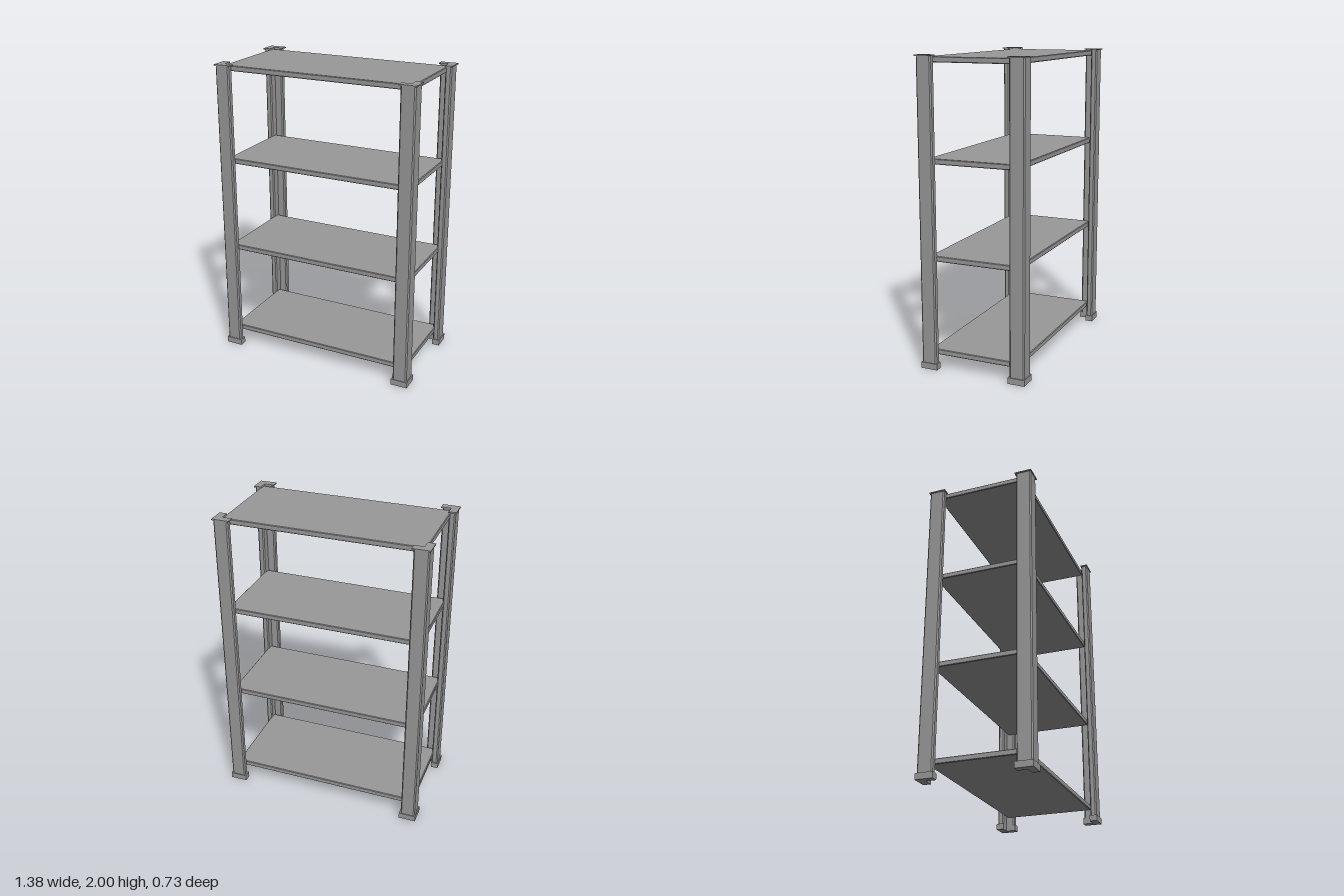
import * as THREE from 'three';

const material = new THREE.MeshStandardMaterial({ color: 0x999999, flatShading: true });

// L-shaped section with its outer corner at (outX, outZ), arms running inwards, chamfered by c
function angleShape(outX, outZ, lengthX, lengthZ, thick, c) {
  const x0 = outX - lengthX, z0 = outZ - lengthZ, xi = outX - thick, zi = outZ - thick;
  return c > 0
    ? [[outX - c, outZ], [x0 + c, outZ], [x0, outZ - c], [x0, zi + c], [x0 + c, zi],
       [xi, zi], [xi, z0 + c], [xi + c, z0], [outX - c, z0], [outX, z0 + c], [outX, outZ - c]]
    : [[outX, outZ], [x0, outZ], [x0, zi], [xi, zi], [xi, z0], [outX, z0]];
}

// Upright prism over an x/z outline, mirrored by sx and sz, from y0 to y1
function prism(name, points, sx, sz, y0, y1) {
  const shape = new THREE.Shape(points.map(([x, z]) => new THREE.Vector2(sx * x, -sz * z)));
  const geometry = new THREE.ExtrudeGeometry(shape, { depth: y1 - y0, bevelEnabled: false });
  geometry.rotateX(-Math.PI / 2).translate(0, y0, 0);
  const mesh = new THREE.Mesh(geometry, material);
  mesh.name = name;
  return mesh;
}

// Board with finely chamfered edges
function shelf(width, depth, thick, bevel) {
  const w = width / 2 - bevel, d = depth / 2 - bevel;
  const shape = new THREE.Shape([[-w, -d], [w, -d], [w, d], [-w, d]].map(p => new THREE.Vector2(...p)));
  const geometry = new THREE.ExtrudeGeometry(shape, {
    depth: thick - 2 * bevel, bevelSize: bevel, bevelThickness: bevel, bevelSegments: 1,
  });
  geometry.rotateX(-Math.PI / 2).translate(0, bevel, 0);
  return new THREE.Mesh(geometry, material);
}

export function createModel() {
  const model = new THREE.Group();
  model.name = 'shelvingUnit';

  // Four angle posts, each with a foot and a thin cap
  const postOutline = angleShape(0.681, 0.358, 0.097, 0.101, 0.043, 0.008);
  const endOutline = angleShape(0.688, 0.363, 0.114, 0.114, 0.05, 0);
  for (const sx of [1, -1]) {
    for (const sz of [1, -1]) {
      const corner = new THREE.Group();
      corner.name = (sz > 0 ? 'front' : 'back') + (sx > 0 ? 'Left' : 'Right') + 'Upright';
      corner.add(
        prism('post', postOutline, sx, sz, 0.03, 1.995),
        prism('foot', endOutline, sx, sz, 0, 0.04),
        prism('cap', endOutline, sx, sz, 1.992, 2),
      );
      model.add(corner);
    }
  }

  // Four evenly spaced shelves
  for (let i = 0; i < 4; i++) {
    const board = shelf(1.294, 0.608, 0.035, 0.004);
    board.name = 'shelf' + (i + 1);
    board.position.y = 0.094 + i * 0.62;
    model.add(board);
  }
  return model;
}
